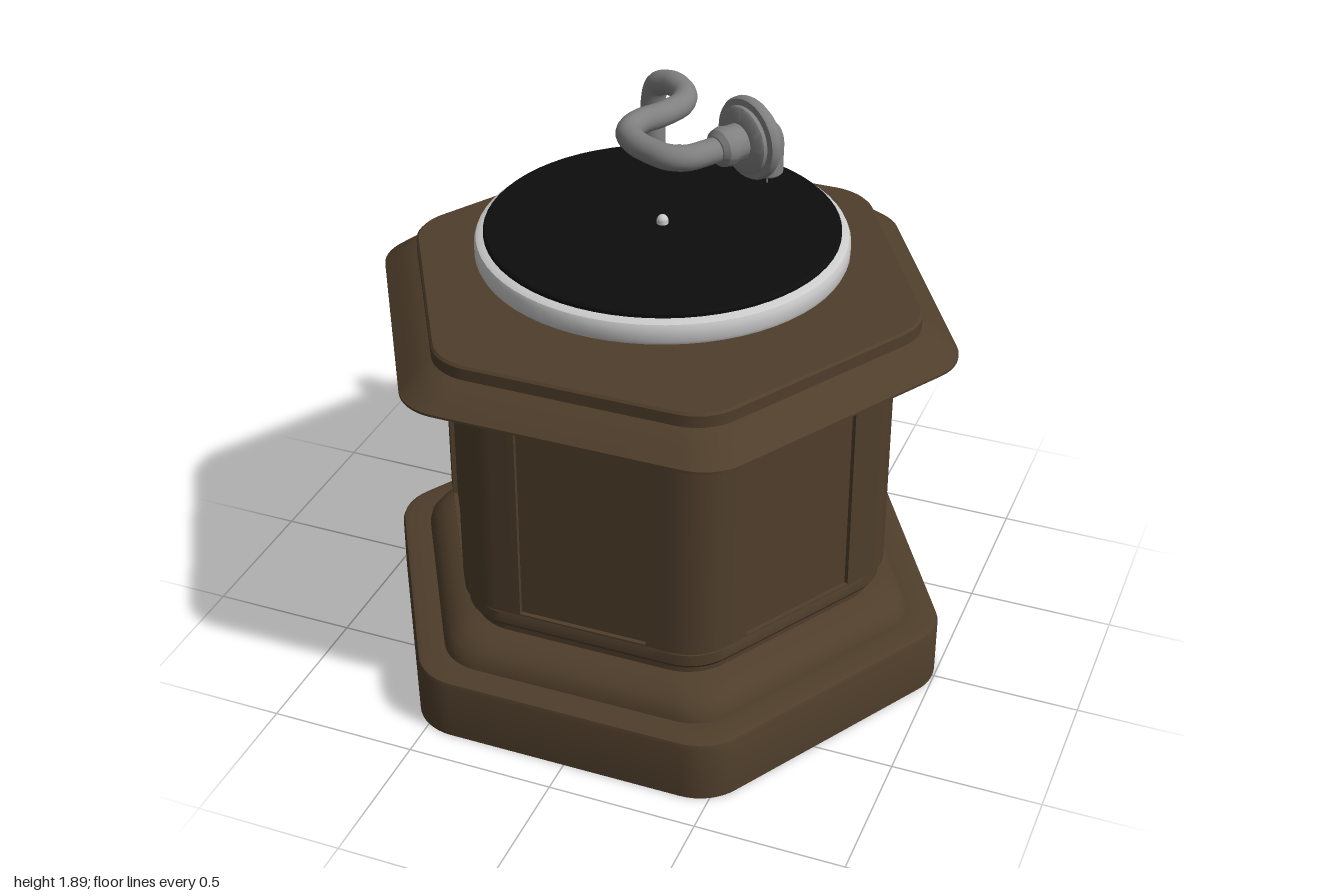
import * as THREE from 'three';
import { toCreasedNormals } from 'three/addons/utils/BufferGeometryUtils.js';

const wood = new THREE.MeshStandardMaterial({ color: 0x4f3e2b, side: THREE.DoubleSide });
const steel = new THREE.MeshStandardMaterial({ color: 0x808080 });
const pale = new THREE.MeshStandardMaterial({ color: 0xcccccc });
const black = new THREE.MeshStandardMaterial({ color: 0x0d0d0d });

const rad = Math.PI / 180;
const V = (x, y, z) => new THREE.Vector3(x, y, z);

// Rounded hexagon outline; d = centre-to-face distance, recess sinks the middle of each face
function hexRing(d, y, recess = 0) {
  const r = Math.min(0.18, d);
  const half = Math.min(0.22, (d - r) * Math.tan(30 * rad));
  const pts = [];
  for (let i = 0; i < 6; i++) {
    const corner = i * 60 * rad, reach = (d - r) / Math.cos(30 * rad);
    for (let k = 0; k <= 8; k++) {
      const a = corner + (-30 + k * 7.5) * rad;
      pts.push(V(Math.cos(corner) * reach + Math.cos(a) * r, y, Math.sin(corner) * reach + Math.sin(a) * r));
    }
    const n = corner + 30 * rad;
    for (const [t, s] of [[-half, 0], [-half, recess], [half, recess], [half, 0]]) {
      pts.push(V(Math.cos(n) * (d - s) - Math.sin(n) * t, y, Math.sin(n) * (d - s) + Math.cos(n) * t));
    }
  }
  return pts;
}

// Skin a stack of hexagon rings, listed from bottom to top
function hexShell(profile) {
  const rings = profile.map(p => hexRing(...p));
  const n = rings[0].length, index = [];
  for (let i = 0; i < rings.length - 1; i++) {
    for (let j = 0; j < n; j++) {
      const a = i * n + j, b = i * n + (j + 1) % n;
      index.push(a, a + n, b, b, a + n, b + n);
    }
  }
  const g = new THREE.BufferGeometry().setFromPoints(rings.flat());
  g.setIndex(index);
  return toCreasedNormals(g, 0.5);
}

// Lathe with crisp edges, profile listed from bottom to top
function turned(points, segments = 48) {
  return toCreasedNormals(new THREE.LatheGeometry(points.map(p => new THREE.Vector2(...p)), segments), 0.6);
}

function add(parent, name, geometry, material, x = 0, y = 0, z = 0) {
  const mesh = new THREE.Mesh(geometry, material);
  mesh.name = name;
  mesh.position.set(x, y, z);
  parent.add(mesh);
  return mesh;
}

export function createModel() {
  const model = new THREE.Group();
  model.name = 'gramophone';

  // Hollow cabinet: plinth, panelled body and lid
  const cabinet = new THREE.Group();
  cabinet.name = 'cabinet';
  model.add(cabinet);
  add(cabinet, 'plinth', hexShell([
    [0.885, 0], [0.885, 0.2], [0.88, 0.214], [0.865, 0.22], [0.79, 0.22],
    [0.784, 0.245], [0.765, 0.272], [0.735, 0.296], [0.7, 0.31], [0.668, 0.318],
    [0.668, 0.345], [0.685, 0.352], [0.693, 0.365], [0.693, 0.405], [0.685, 0.42], [0.675, 0.424],
  ]), wood);
  add(cabinet, 'panelledBody', hexShell([
    [0.675, 0.424], [0.708, 0.424], [0.708, 0.43], [0.708, 0.43, 0.015],
    [0.708, 1.242, 0.015], [0.708, 1.242], [0.708, 1.255],
  ]), wood);
  add(cabinet, 'lid', hexShell([
    [0.708, 1.255], [0.885, 1.255], [0.885, 1.263], [0.855, 1.288], [0.825, 1.312],
    [0.8, 1.328], [0.777, 1.338], [0.777, 1.378], [0.77, 1.386], [0, 1.386],
  ]), wood);

  // Turntable
  const turntable = new THREE.Group();
  turntable.name = 'turntable';
  model.add(turntable);
  add(turntable, 'hub', new THREE.CylinderGeometry(0.115, 0.115, 0.09, 40), pale, 0, 1.425, 0);
  add(turntable, 'platter', turned([
    [0, 1.46], [0.585, 1.46], [0.6, 1.467], [0.606, 1.48], [0.606, 1.52], [0.6, 1.535], [0.585, 1.543], [0, 1.543],
  ], 64), pale);
  add(turntable, 'record', turned([
    [0, 1.54], [0.57, 1.54], [0.576, 1.546], [0.576, 1.556], [0.57, 1.562], [0, 1.562],
  ], 64), black);
  add(turntable, 'spindle', new THREE.CylinderGeometry(0.019, 0.019, 0.03, 16), pale, 0, 1.562, 0);
  add(turntable, 'spindleTip', new THREE.SphereGeometry(0.019, 16, 12), pale, 0, 1.573, 0);

  // Tone arm
  const arm = new THREE.Group();
  arm.name = 'toneArm';
  model.add(arm);
  add(arm, 'armCollar', turned([
    [0.068, 1.38], [0.068, 1.41], [0.06, 1.42], [0, 1.42],
  ], 32), steel, -0.302, 0, -0.68);
  const path = new THREE.CatmullRomCurve3([
    V(-0.302, 1.4, -0.68), V(-0.302, 1.52, -0.68), V(-0.302, 1.64, -0.68), V(-0.28, 1.715, -0.668),
    V(-0.21, 1.745, -0.632), V(-0.145, 1.745, -0.57), V(-0.125, 1.745, -0.49), V(-0.155, 1.745, -0.395),
    V(-0.205, 1.745, -0.31), V(-0.208, 1.745, -0.225), V(-0.16, 1.745, -0.165), V(-0.085, 1.745, -0.122),
    V(-0.02, 1.745, -0.103), V(0.035, 1.745, -0.118), V(0.085, 1.747, -0.175), V(0.175, 1.75, -0.32),
  ]);
  add(arm, 'armTube', new THREE.TubeGeometry(path, 120, 0.043, 20), steel);

  // Sound box: stepped disc whose axis points away from the arm
  const axis = V(0.5, 0, -0.866), centre = V(0.175, 1.75, -0.32);
  const box = add(arm, 'soundBox', turned([
    [0, -0.14], [0.045, -0.14], [0.062, -0.125], [0.068, -0.1], [0.062, -0.075], [0.062, -0.045],
    [0.105, -0.04], [0.115, -0.032], [0.115, -0.018], [0.135, -0.014], [0.141, -0.004],
    [0.141, 0.012], [0.135, 0.022], [0.117, 0.024], [0.117, 0.036], [0.108, 0.046],
    [0.075, 0.05], [0.06, 0.06], [0, 0.06],
  ]), steel, ...centre.toArray());
  box.quaternion.setFromUnitVectors(V(0, 1, 0), axis);

  // Elbow holding the needle
  const at = (s, y) => V(centre.x + axis.x * s, y, centre.z + axis.z * s);
  const elbow = new THREE.CatmullRomCurve3([
    at(0.02, 1.75), at(0.05, 1.75), at(0.075, 1.738), at(0.085, 1.71), at(0.085, 1.66), at(0.085, 1.605),
  ]);
  add(arm, 'needleElbow', new THREE.TubeGeometry(elbow, 32, 0.053, 20), steel);
  const tip = at(0.085, 1.605);
  add(arm, 'elbowEnd', new THREE.CylinderGeometry(0.053, 0.045, 0.01, 20), steel, tip.x, 1.602, tip.z);
  add(arm, 'needle', new THREE.CylinderGeometry(0.006, 0.003, 0.05, 8), steel, tip.x, 1.585, tip.z);

  return model;
}
